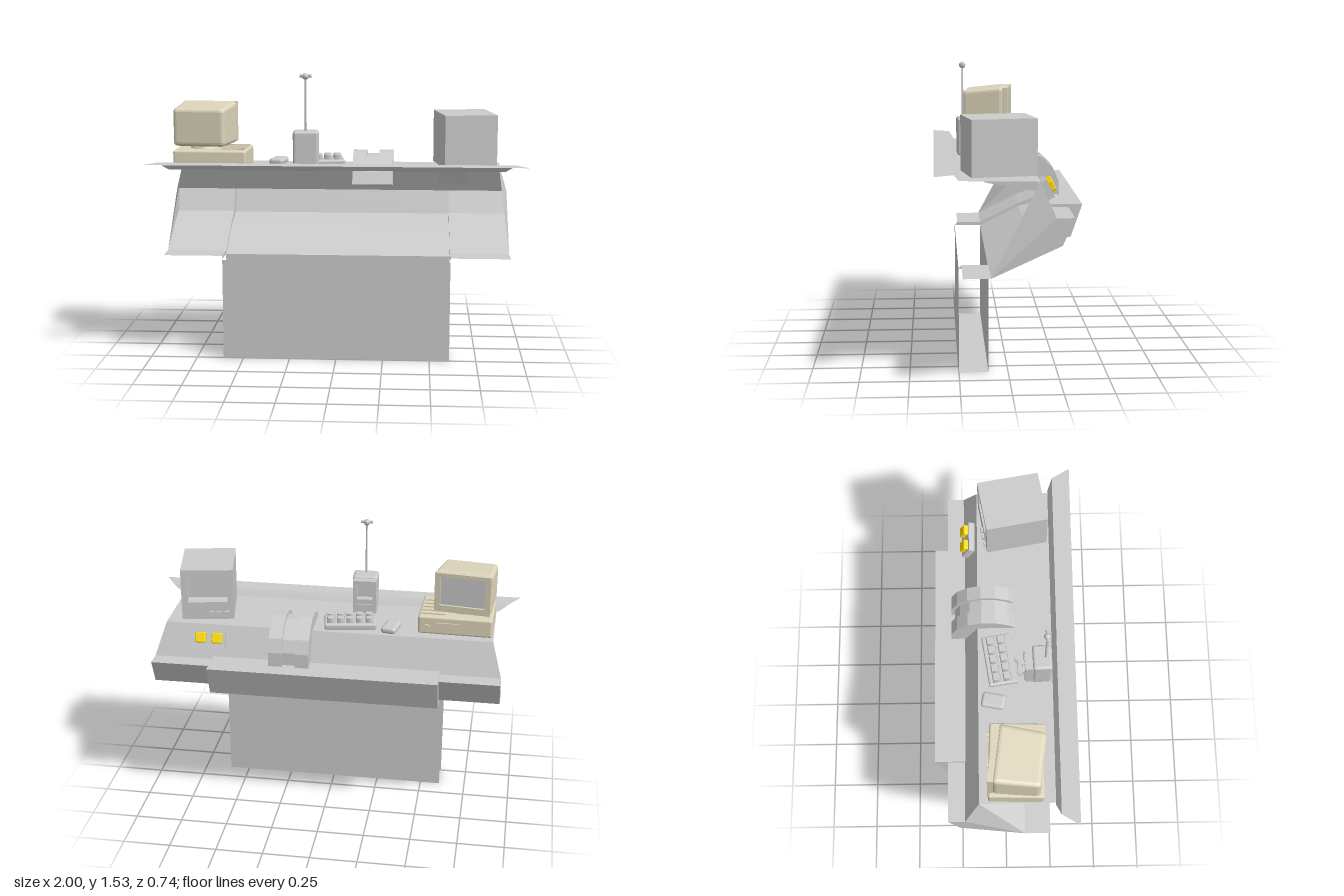
import * as THREE from 'three';
import { RoundedBoxGeometry } from 'three/addons/geometries/RoundedBoxGeometry.js';

const grey = new THREE.MeshStandardMaterial({ color: 0xcccccc });
const sheetGrey = new THREE.MeshStandardMaterial({ color: 0xcccccc, side: THREE.DoubleSide, flatShading: true });
const beige = new THREE.MeshStandardMaterial({ color: 0xddd5bb });
const yellow = new THREE.MeshStandardMaterial({ color: 0xffdd00 });

function add(parent, name, geometry, x = 0, y = 0, z = 0, material = grey) {
  const mesh = new THREE.Mesh(geometry, material);
  mesh.name = name;
  mesh.position.set(x, y, z);
  parent.add(mesh);
  return mesh;
}

function subgroup(parent, name, x, y, z, turn = 0) {
  const g = new THREE.Group();
  g.name = name;
  g.position.set(x, y, z);
  g.rotation.y = turn;
  parent.add(g);
  return g;
}

const box = (w, h, d) => new THREE.BoxGeometry(w, h, d);
const round = (w, h, d, r) => new RoundedBoxGeometry(w, h, d, 2, r);

// Thin sheet spanned between two polylines of [x, y, z]
function ribbon(parent, name, a, b) {
  const pos = [];
  for (let i = 0; i + 1 < a.length; i++) {
    pos.push(...a[i], ...b[i], ...b[i + 1]);
    if (a[i] !== a[i + 1]) pos.push(...a[i], ...b[i + 1], ...a[i + 1]);
  }
  const geo = new THREE.BufferGeometry();
  geo.setAttribute('position', new THREE.Float32BufferAttribute(pos, 3));
  geo.computeVertexNormals();
  return add(parent, name, geo, 0, 0, 0, sheetGrey);
}

// Sheet from rows of [half width, y, z]
const band = (parent, name, rows) =>
  ribbon(parent, name, rows.map(([x, y, z]) => [-x, y, z]), rows.map(([x, y, z]) => [x, y, z]));

// Upright rectangular frame with a window, its face towards -z
function frame(w, h, depth, hw, hh, hy) {
  const rect = (P, W, H, cy) => new P([[-1, -1], [1, -1], [1, 1], [-1, 1]]
    .map(([a, b]) => new THREE.Vector2(a * W / 2, cy + b * H / 2)));
  const shape = rect(THREE.Shape, w, h, 0);
  shape.holes.push(rect(THREE.Path, hw, hh, hy));
  return new THREE.ExtrudeGeometry(shape, { depth, bevelEnabled: false });
}

// Console profiles as [y, z], from the rear shelf down to the front lip
const SHELF = [[0.865, -0.21], [0.865, -0.372], [0.70, -0.315], [0.652, -0.127], [0.54, 0.1], [0.54, 0.25]];
const WING = [[0.85, -0.215], [0.85, -0.303], [0.716, -0.245], [0.67, -0.127], [0.558, 0.1], [0.558, 0.235]];
const IN = 0.607, OUT = 0.925, TOP = 0.873;

function buildConsole(root) {
  const g = subgroup(root, 'console', 0, 0, 0);
  band(g, 'centreShell', SHELF.slice(0, 5).map(([y, z]) => [IN, y, z]));
  band(g, 'pedestal', [[IN, 0.54, 0.1], [IN, 0, 0.1], [IN, 0, 0.25], [IN, 0.54, 0.25]]);
  band(g, 'deck', [[OUT, 0.85, -0.215], [TOP, 1.02, -0.14], [TOP, 1.025, 0.25]]);
  band(g, 'frontFlange', [[0.885, 1.025, 0.25], [0.942, 1.064, 0.275], [1, 1.064, 0.37]]);
  for (const s of [-1, 1]) {
    const at = (x, p) => p.map(([y, z]) => [s * x, y, z]);
    ribbon(g, 'wingShell', at(IN, WING), at(OUT, WING));
    ribbon(g, 'wingStep', at(IN, SHELF), at(IN, WING));
    // side cheek fans out from its front lower corner
    const rim = at(OUT, [WING[3], WING[2], WING[1], WING[0]]);
    rim.push([s * TOP, 1.02, -0.14]);
    const corner = [s * OUT, 0.558, 0.1];
    ribbon(g, 'sideCheek', rim.map(() => corner), rim);
  }
}

function buildGreyMonitor(root) {
  const g = subgroup(root, 'greyMonitor', 0.679, 1.175, 0.052, 0.174);
  const w = 0.278, h = 0.28, d = 0.326, deep = 0.07;
  add(g, 'bezel', frame(w, h, deep, 0.21, 0.145, 0.03), 0, 0, -d / 2);
  add(g, 'housing', box(w, h, d - deep), 0, 0, deep / 2);
  for (let i = 0; i < 3; i++) add(g, 'button', box(0.026, 0.024, 0.02), -0.02 - i * 0.04, -0.105, -d / 2 - 0.004);
}

function buildBeigeComputer(root) {
  const base = subgroup(root, 'computerBase', -0.672, 1.068, 0.053, -0.03);
  add(base, 'case', round(0.39, 0.1, 0.285, 0.012), 0, 0, 0, beige);
  for (let i = 0; i < 5; i++) add(base, 'ventRib', box(0.125, 0.008, 0.018), 0.12, 0.052, -0.1 + i * 0.045, beige);
  add(base, 'powerKnob', new THREE.CylinderGeometry(0.018, 0.018, 0.015, 12).rotateX(Math.PI / 2), 0.15, -0.01, -0.146, beige);
  add(base, 'driveSlot', box(0.13, 0.018, 0.012), 0.04, 0.01, -0.143, beige);

  const g = subgroup(root, 'beigeMonitor', -0.715, 1.25, 0.046, -0.13);
  add(g, 'neck', new THREE.CylinderGeometry(0.07, 0.085, 0.04, 16), 0, -0.118, 0, beige);
  // housing narrows a little towards its far end
  const body = round(0.305, 0.225, 0.24, 0.022);
  const p = body.attributes.position;
  for (let i = 0; i < p.count; i++) {
    const t = (p.getZ(i) + 0.12) / 0.24;
    p.setX(i, p.getX(i) * (1 - 0.08 * t));
    if (p.getY(i) > 0) p.setY(i, p.getY(i) * (1 - 0.22 * t));
  }
  body.computeVertexNormals();
  add(g, 'housing', body, 0, 0, 0.02, beige);
  add(g, 'bezel', frame(0.295, 0.215, 0.03, 0.235, 0.16, 0.008), 0, 0, -0.125, beige);
  add(g, 'screen', box(0.235, 0.16, 0.02), 0, 0.008, -0.102);
}

function buildDesktopItems(root) {
  const keys = subgroup(root, 'keyboard', -0.107, 1.035, -0.026, 0.15);
  add(keys, 'tray', round(0.275, 0.03, 0.15, 0.008));
  for (let r = 0; r < 2; r++)
    for (let c = 0; c < 5; c++)
      add(keys, 'key', new THREE.CylinderGeometry(0.025, 0.032, 0.03, 4).rotateY(Math.PI / 4), (c - 2) * 0.051, 0.025, -0.032 + r * 0.056);

  const mouse = subgroup(root, 'mouse', -0.33, 1.034, -0.06, -0.2);
  add(mouse, 'shell', new RoundedBoxGeometry(0.08, 0.036, 0.125, 3, 0.016));

  // Small set with a screen and aerial
  const set = subgroup(root, 'radioSet', -0.162, 1.125, 0.17, 0.04);
  add(set, 'housing', round(0.135, 0.21, 0.1, 0.015), 0, 0, 0.022);
  add(set, 'bezel', frame(0.125, 0.185, 0.045, 0.085, 0.085, 0.03), 0, 0, -0.068);
  add(set, 'controlBar', box(0.08, 0.022, 0.01), 0, -0.05, -0.07);
  add(set, 'aerial', new THREE.CylinderGeometry(0.004, 0.006, 0.31, 8), 0, 0.25, 0.04);
  add(set, 'aerialTip', new THREE.SphereGeometry(0.018, 10, 8), 0, 0.39, 0.04);
  add(set, 'aerialBar', new THREE.CylinderGeometry(0.008, 0.008, 0.062, 8).rotateZ(Math.PI / 2), 0, 0.393, 0.04);
  const cord = new THREE.CatmullRomCurve3([[-0.1, 1.035, 0.04], [-0.12, 1.04, 0.07], [-0.19, 1.035, 0.075], [-0.18, 1.04, 0.11]]
    .map((v) => new THREE.Vector3(...v)));
  add(root, 'cord', new THREE.TubeGeometry(cord, 16, 0.006, 6));
}

// Drum-shaped lever housing: two rims and a sunken track
function buildLeverHousing(root) {
  const g = subgroup(root, 'leverHousing', 0.187, 0.895, -0.088);
  const slice = (name, x, w, r) => {
    const s = new THREE.Shape();
    s.moveTo(0, 0);
    for (let i = 0; i <= 8; i++) {
      const a = 0.18 + i * 0.39;
      s.lineTo(Math.cos(a) * r, Math.sin(a) * r);
    }
    const geo = new THREE.ExtrudeGeometry(s, { depth: w, bevelEnabled: false });
    geo.translate(0, 0, -w / 2).rotateY(-Math.PI / 2);
    add(g, name, geo, x, 0, 0);
  };
  slice('rim', -0.071, 0.073, 0.198);
  slice('rim', 0.071, 0.073, 0.198);
  slice('track', 0, 0.07, 0.178);
}

function buildButtonPanel(root) {
  const g = subgroup(root, 'buttonPanel', 0.627, 0.95, -0.182);
  g.rotation.x = 0.44;
  add(g, 'plate', box(0.168, 0.095, 0.05));
  for (const s of [-1, 1]) {
    add(g, 'yellowButton', round(0.056, 0.056, 0.03, 0.006), s * 0.044, 0.008, -0.035, yellow);
  }
}

export function createModel() {
  const root = new THREE.Group();
  root.name = 'controlDesk';
  buildConsole(root);
  buildGreyMonitor(root);
  buildBeigeComputer(root);
  buildDesktopItems(root);
  buildLeverHousing(root);
  buildButtonPanel(root);
  return root;
}
